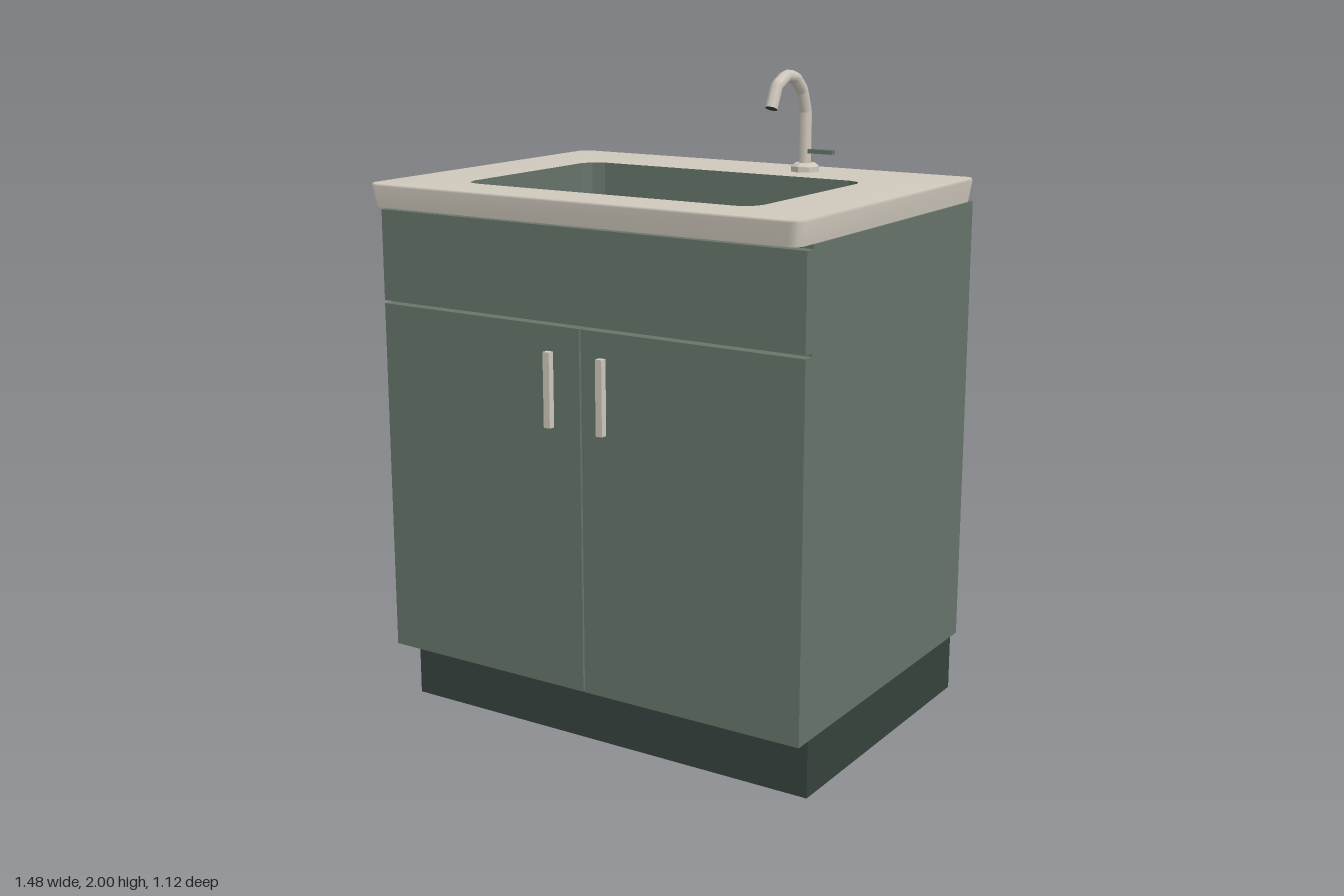
import * as THREE from 'three';

const mat = (name, color, side = THREE.FrontSide) => {
  const m = new THREE.MeshStandardMaterial({ color, side });
  m.name = name;
  return m;
};

// Rounded rectangle loop in plan, three points per corner
function planLoop(hx, hz, r, y, cz = 0) {
  const pts = [];
  [[1, 1], [-1, 1], [-1, -1], [1, -1]].forEach(([sx, sz], q) => {
    for (let k = 0; k < 3; k++) {
      const a = (q + k / 2) * Math.PI / 2;
      pts.push([sx * (hx - r) + r * Math.cos(a), y, cz + sz * (hz - r) + r * Math.sin(a)]);
    }
  });
  return pts;
}

// Skin a stack of loops; smooth normals unless flat is set
function loft(loops, flat = false) {
  const n = loops[0].length, index = [];
  for (let j = 0; j < loops.length - 1; j++) {
    for (let i = 0; i < n; i++) {
      const a = j * n + i, b = j * n + (i + 1) % n;
      index.push(a, a + n, b, b, a + n, b + n);
    }
  }
  let g = new THREE.BufferGeometry();
  g.setAttribute('position', new THREE.Float32BufferAttribute(loops.flat(2), 3));
  g.setIndex(index);
  if (flat) g = g.toNonIndexed();
  g.computeVertexNormals();
  return g;
}

export function createModel() {
  const root = new THREE.Group();
  root.name = 'sinkCabinet';
  const green = mat('cabinetGreen', 0x66756a);
  const dark = mat('plinthDark', 0x36433d);
  const cream = mat('counterCream', 0xcfc8bc);

  const add = (name, geo, m, x = 0, y = 0, z = 0) => {
    const mesh = new THREE.Mesh(geo, m);
    mesh.name = name;
    mesh.position.set(x, y, z);
    root.add(mesh);
    return mesh;
  };
  // Box given by its limits on each axis
  const box = (name, m, x0, x1, y0, y1, z0, z1) =>
    add(name, new THREE.BoxGeometry(x1 - x0, y1 - y0, z1 - z0), m,
      (x0 + x1) / 2, (y0 + y1) / 2, (z0 + z1) / 2);

  // Plinth and hollow carcass
  box('plinth', dark, -0.715, 0.715, 0, 0.195, -0.545, 0.42);
  box('carcassBottom', green, -0.733, 0.733, 0.192, 0.215, -0.55, 0.468);
  box('carcassBack', green, -0.733, 0.733, 0.192, 1.602, -0.55, -0.53);
  box('carcassFront', green, -0.733, 0.733, 0.192, 1.602, 0.45, 0.468);
  box('leftSide', green, 0.713, 0.733, 0.192, 1.602, -0.55, 0.468);
  box('rightSide', green, -0.733, -0.713, 0.192, 1.602, -0.55, 0.468);

  // False drawer front, doors and bar handles
  box('drawerFront', green, -0.733, 0.733, 1.311, 1.59, 0.468, 0.505);
  for (const s of [-1, 1]) {
    const side = s > 0 ? 'left' : 'right';
    const xs = [s * 0.003, s * 0.733].sort((a, b) => a - b);
    box(side + 'Door', green, xs[0], xs[1], 0.192, 1.301, 0.468, 0.505);
    box(side + 'Handle', cream, s * 0.092 - 0.011, s * 0.092 + 0.011, 1.005, 1.23, 0.525, 0.546);
  }

  // Countertop with softly shaded edges and a sink opening
  const rim = (y) => planLoop(0.505, 0.333, 0.055, y, 0.0625);
  add('countertop', loft([
    planLoop(0.73, 0.55, 0.03, 1.603),
    planLoop(0.739, 0.558, 0.03, 1.668),
    planLoop(0.735, 0.554, 0.03, 1.675),
    rim(1.675),
  ]), cream);
  add('countertopUnderside', loft([rim(1.603), planLoop(0.73, 0.55, 0.03, 1.603)], true), cream);

  // Basin walls and floor
  add('basin', loft([rim(1.675), rim(1.48), planLoop(0, 0, 0, 1.48, 0.0625)], true), green);
  add('drain', new THREE.CylinderGeometry(0.047, 0.047, 0.008, 20), dark, 0, 1.483, 0.088);

  // Faucet: stepped base, gooseneck, open spout tip and lever
  const fx = 0.218, fz = -0.415;
  const base = [[0, 0], [0.045, 0], [0.045, 0.018], [0.032, 0.028], [0, 0.028]]
    .map(([r, y]) => new THREE.Vector2(r, y));
  const baseGeo = new THREE.LatheGeometry(base, 8).toNonIndexed();
  baseGeo.computeVertexNormals();
  add('faucetBase', baseGeo, cream, fx, 1.674, fz);

  const neck = new THREE.CurvePath();
  const path = [[1.69, fz], [1.86, fz], [1.93, -0.388], [1.972, -0.34], [1.978, -0.285],
    [1.95, -0.228], [1.885, -0.198]].map(([y, z]) => new THREE.Vector3(fx, y, z));
  for (let i = 0; i < path.length - 1; i++) neck.add(new THREE.LineCurve3(path[i], path[i + 1]));
  add('faucetNeck', new THREE.TubeGeometry(neck, 36, 0.02, 8), cream);
  const tip = add('spoutTip', new THREE.CircleGeometry(0.02, 8), dark, fx, 1.885, -0.198);
  tip.lookAt(fx, 1.82, -0.168);
  box('faucetLever', green, fx, 0.318, 1.733, 1.746, -0.425, -0.402);

  return root;
}
